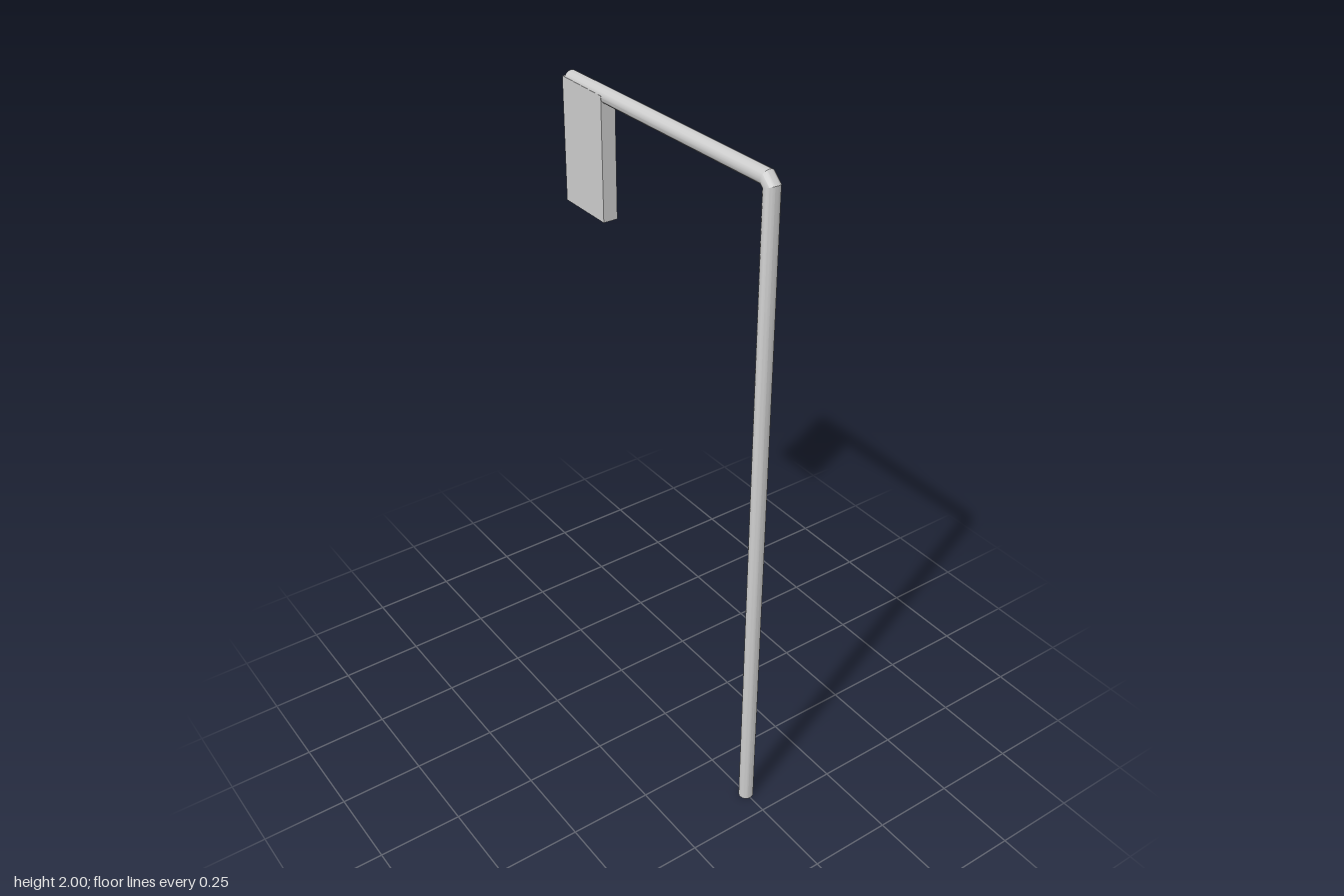
import * as THREE from 'three';
import { toCreasedNormals } from 'three/addons/utils/BufferGeometryUtils.js';

const R = 0.022;
const SIDES = 20;

// Loft of round cross-sections, each given by its outer and inner point [z, y] in the bend plane.
function loftPipe(sections) {
  const pos = [], idx = [];
  for (const [[oz, oy], [iz, iy]] of sections) {
    for (let i = 0; i < SIDES; i++) {
      const a = (i / SIDES) * Math.PI * 2, k = (1 + Math.cos(a)) / 2;
      pos.push(Math.sin(a) * R, iy + (oy - iy) * k, iz + (oz - iz) * k);
    }
  }
  for (let s = 0; s < sections.length - 1; s++) {
    for (let i = 0; i < SIDES; i++) {
      const j = (i + 1) % SIDES, a = s * SIDES, b = a + SIDES;
      idx.push(a + i, a + j, b + j, a + i, b + j, b + i);
    }
  }
  // Flat end caps
  const last = (sections.length - 1) * SIDES;
  for (let i = 1; i < SIDES - 1; i++) {
    idx.push(0, i + 1, i, last, last + i, last + i + 1);
  }
  const geo = new THREE.BufferGeometry();
  geo.setAttribute('position', new THREE.Float32BufferAttribute(pos, 3));
  geo.setIndex(idx);
  return toCreasedNormals(geo, Math.PI / 6);
}

export function createModel() {
  const group = new THREE.Group();
  const material = new THREE.MeshStandardMaterial({ color: 0xcccccc });

  // Upright post, chamfered elbow and slightly drooping arm as one bent pipe
  const pipe = new THREE.Mesh(loftPipe([
    [[0.44, 0], [0.397, 0]],
    [[0.44, 1.97], [0.397, 1.953]],
    [[0.408, 2.0], [0.393, 1.957]],
    [[-0.43, 1.99], [-0.43, 1.947]],
  ]), material);
  pipe.name = 'bentPole';
  group.add(pipe);

  // Flat panel hanging from the end of the arm
  const panel = new THREE.Mesh(new THREE.BoxGeometry(2 * R, 0.355, 0.185), material);
  panel.position.set(0, 1.7975, -0.3475);
  panel.name = 'hangingPanel';
  group.add(panel);

  return group;
}
